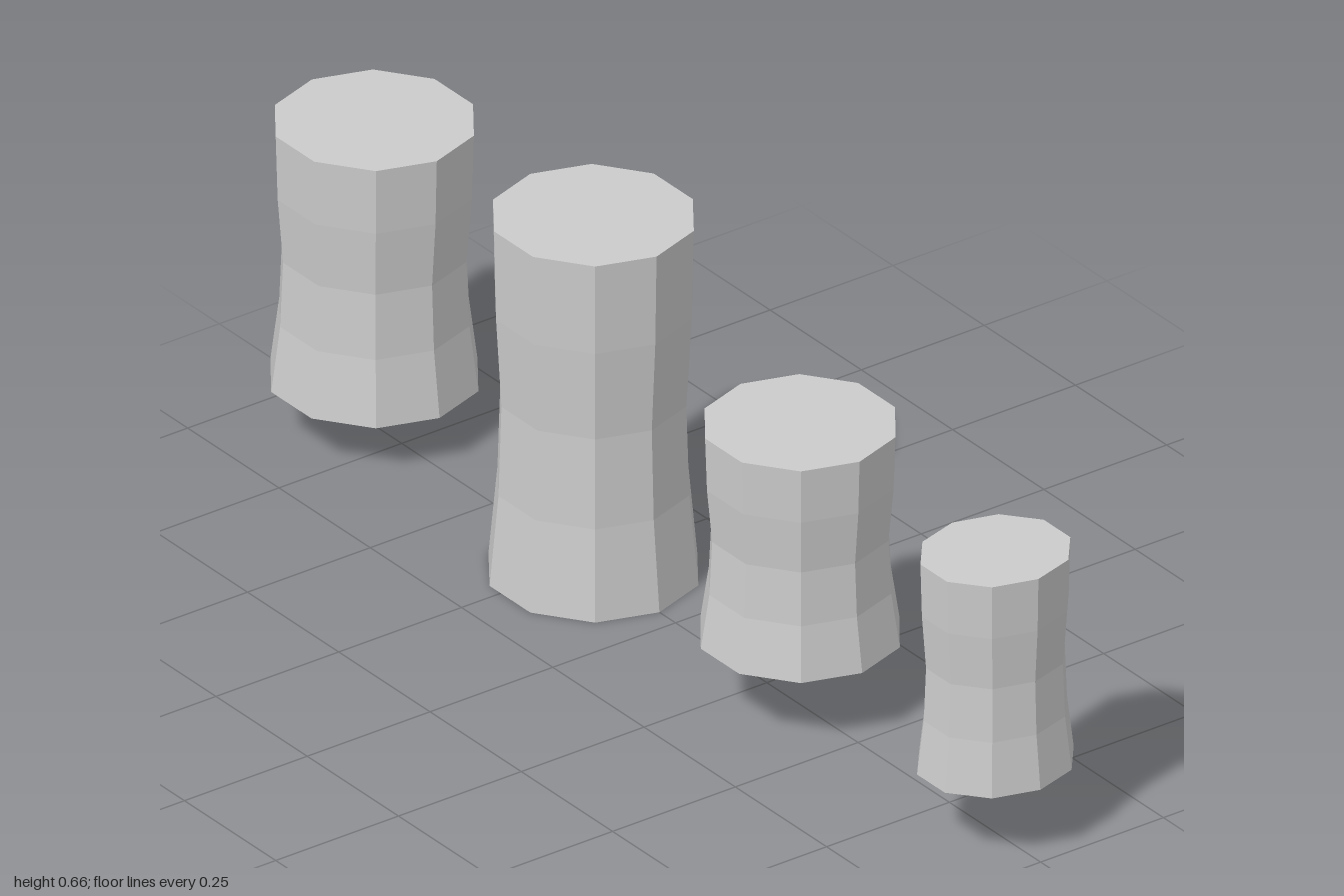
import * as THREE from 'three';

// Waisted ten-sided profile: [height fraction, radius fraction]
const PROFILE = [[0, 0], [0, 1.045], [0.25, 0.955], [0.5, 0.925], [0.75, 0.98], [1, 1], [1, 0]];

// name, centre x, bottom y, top y, top radius in x and z
const PILLARS = [
  ['farRightPillar', -0.825, 0.094, 0.571, 0.171, 0.170],
  ['tallPillar', -0.225, 0, 0.662, 0.173, 0.171],
  ['shortPillar', 0.341, 0.135, 0.527, 0.163, 0.164],
  ['slimPillar', 0.876, 0.135, 0.527, 0.118, 0.132],
];

export function createModel() {
  const group = new THREE.Group();
  group.name = 'pillars';
  const material = new THREE.MeshStandardMaterial({ color: 0xcccccc, flatShading: true });

  // Unit pillar with corners on the x axis, closed at both ends
  const points = PROFILE.map(([y, r]) => new THREE.Vector2(r, y));
  const unitPillar = new THREE.LatheGeometry(points, 10, Math.PI / 2);

  for (const [name, x, bottom, top, rx, rz] of PILLARS) {
    const geometry = unitPillar.clone().scale(rx, top - bottom, rz);
    const pillar = new THREE.Mesh(geometry, material);
    pillar.name = name;
    pillar.position.set(x, bottom, 0);
    group.add(pillar);
  }
  return group;
}
